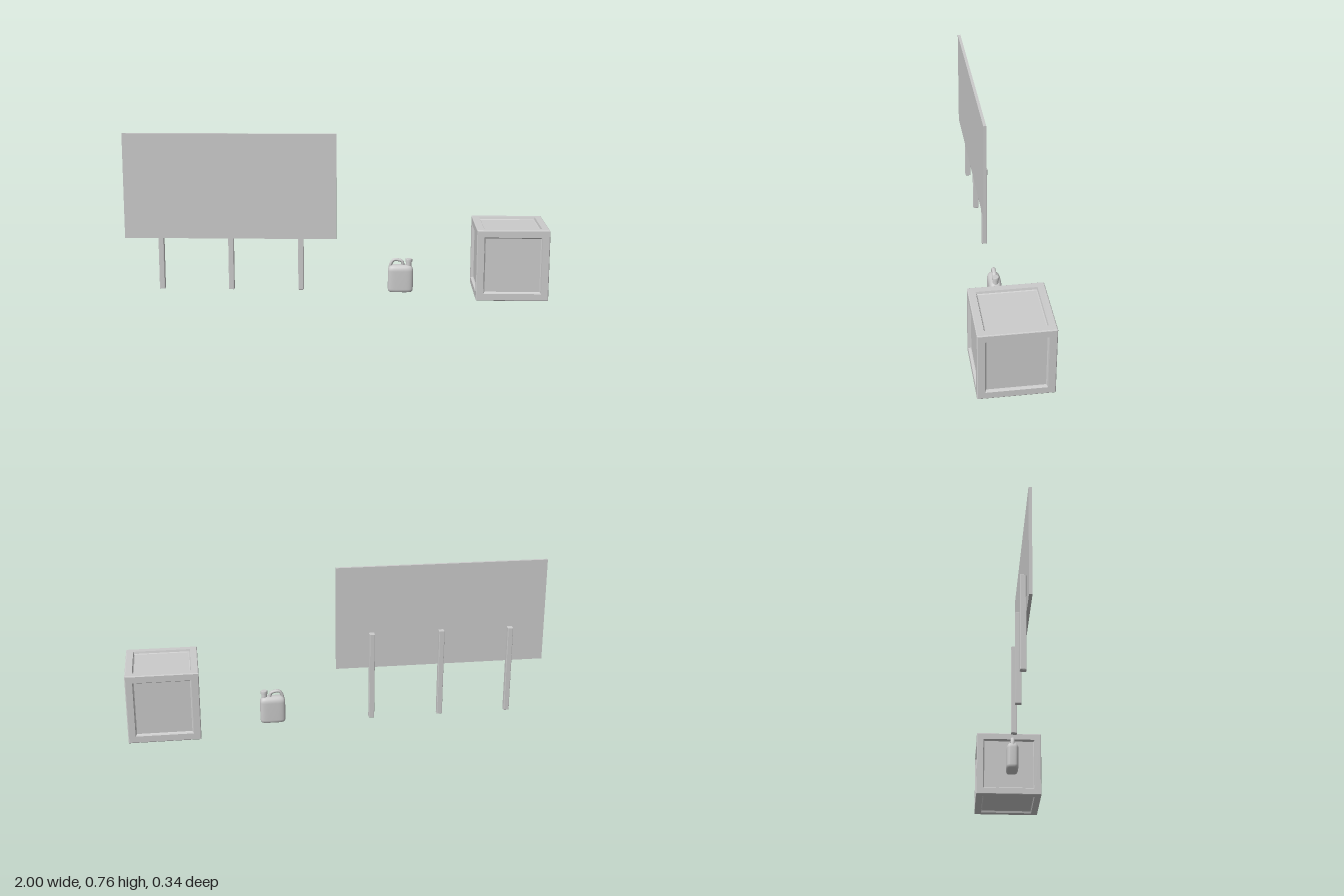
import * as THREE from 'three';
import { RoundedBoxGeometry } from 'three/addons/geometries/RoundedBoxGeometry.js';

const smooth = new THREE.MeshStandardMaterial({ color: 0xcccccc });
const faceted = new THREE.MeshStandardMaterial({ color: 0xcccccc, flatShading: true });

function part(parent, name, geometry, material, x = 0, y = 0, z = 0) {
  const mesh = new THREE.Mesh(geometry, material);
  mesh.name = name;
  mesh.position.set(x, y, z);
  parent.add(mesh);
  return mesh;
}

function group(parent, name, x = 0, y = 0, z = 0) {
  const g = new THREE.Group();
  g.name = name;
  g.position.set(x, y, z);
  parent.add(g);
  return g;
}

// Stacked rounded-rectangle sections [y, halfWidth, halfDepth], closed at both ends
function loftBody(sections, around = 40) {
  const pos = [], index = [];
  const pow = (v) => Math.sign(v) * Math.abs(v) ** 0.5;
  sections.forEach(([y, w, d]) => {
    for (let i = 0; i < around; i++) {
      const a = (i / around) * Math.PI * 2;
      pos.push(w * pow(Math.cos(a)), y, d * pow(Math.sin(a)));
    }
  });
  for (let s = 0; s < sections.length - 1; s++) {
    for (let i = 0; i < around; i++) {
      const a = s * around + i, b = s * around + (i + 1) % around;
      index.push(a, a + around, b, b, a + around, b + around);
    }
  }
  const geometry = new THREE.BufferGeometry();
  geometry.setAttribute('position', new THREE.Float32BufferAttribute(pos, 3));
  geometry.setIndex(index);
  geometry.computeVertexNormals();
  return geometry;
}

function addBillboard(model) {
  const g = group(model, 'billboard');
  part(g, 'panel', new THREE.BoxGeometry(1.01, 0.504, 0.014), faceted, -0.495, 0.51, 0.001);
  // Posts behind the panel
  for (const x of [-0.83, -0.495, -0.16]) {
    part(g, 'post', new RoundedBoxGeometry(0.026, 0.433, 0.027, 1, 0.003), faceted, x, 0.2195, -0.0192);
  }
}

function addCrate(model) {
  const g = group(model, 'crate', 0.832, 0.173, 0);
  // Half profile of one side: chamfered rim, flat frame, sloped recess, sunken panel
  const profile = [[0.1665, 0.1665], [0.164, 0.168], [0.134, 0.168], [0.131, 0.158], [0.127, 0.155], [0, 0.155]]
    .map(([r, h]) => new THREE.Vector2(r * Math.SQRT2, h));
  const side = new THREE.LatheGeometry(profile, 4, Math.PI / 4);
  for (let i = 0; i < 4; i++) {
    part(g, 'sidePanel', side, faceted).rotation.set(Math.PI / 2, 0, (i * Math.PI) / 2, 'YXZ');
    g.children[i].rotation.set(Math.PI / 2, (i * Math.PI) / 2, 0, 'YXZ');
  }
  part(g, 'topPanel', side, faceted);
  part(g, 'bottomPanel', side, faceted).rotation.x = Math.PI;
}

function addJerrycan(model) {
  const g = group(model, 'jerrycan', 0.317, 0, -0.002);
  part(g, 'body', loftBody([
    [0.002, 0, 0], [0.002, 0.05, 0.02], [0.004, 0.055, 0.025], [0.01, 0.059, 0.029],
    [0.018, 0.06, 0.03], [0.105, 0.06, 0.03], [0.115, 0.059, 0.029], [0.124, 0.055, 0.025],
    [0.13, 0.048, 0.019], [0.133, 0.038, 0.012], [0.134, 0, 0],
  ]), smooth);
  // Carrying handle over the shoulder
  const path = new THREE.CatmullRomCurve3([
    [-0.05, 0.118], [-0.045, 0.14], [-0.032, 0.157], [-0.01, 0.157], [0.007, 0.15], [0.013, 0.122],
  ].map(([x, y]) => new THREE.Vector3(x, y, 0)));
  part(g, 'handle', new THREE.TubeGeometry(path, 32, 0.0075, 12), smooth).scale.z = 1.3;
  // Spout with screw cap
  part(g, 'spout', new THREE.CylinderGeometry(0.012, 0.014, 0.035, 20), smooth, 0.039, 0.135, 0);
  part(g, 'cap', new THREE.LatheGeometry(
    [[0, 0], [0.016, 0], [0.016, 0], [0.016, 0.013], [0.014, 0.015], [0.014, 0.015], [0, 0.015]]
      .map(([r, y]) => new THREE.Vector2(r, y)), 20), smooth, 0.04, 0.148, 0);
}

export function createModel() {
  const model = new THREE.Group();
  model.name = 'roadsideProps';
  addBillboard(model);
  addCrate(model);
  addJerrycan(model);
  return model;
}
